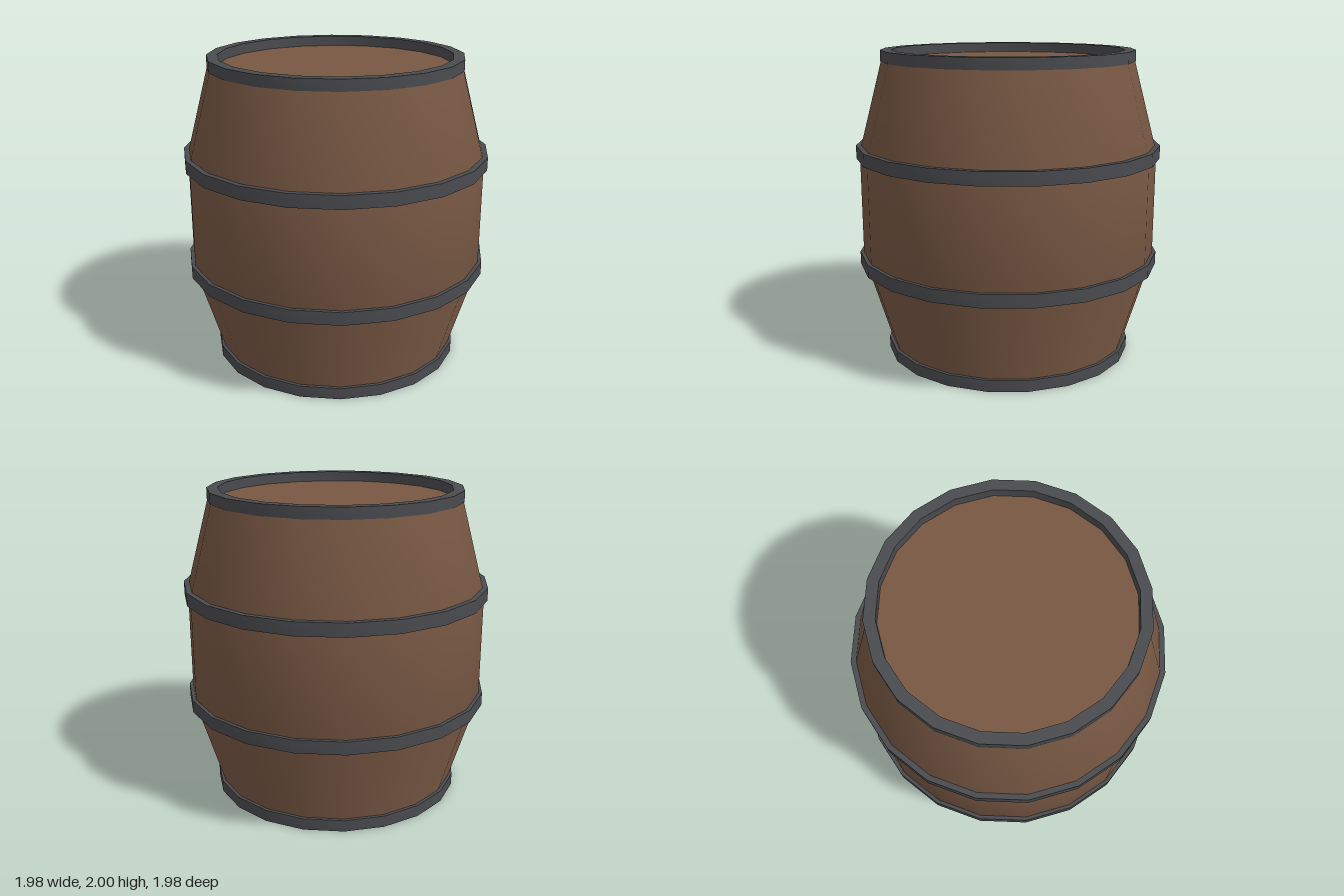
import * as THREE from 'three';
import { toCreasedNormals } from 'three/addons/utils/BufferGeometryUtils.js';

const SIDES = 20;

// Revolve a [radius, height] profile; smooth around, sharp at profile corners
function revolve(profile) {
  const points = profile.map(([r, y]) => new THREE.Vector2(r, y));
  return toCreasedNormals(new THREE.LatheGeometry(points, SIDES), 0.6);
}

// Closed rectangular ring
function ring(inner, outer, y0, y1) {
  return revolve([[inner, y0], [outer, y0], [outer, y1], [inner, y1], [inner, y0]]);
}

export function createModel() {
  const wood = new THREE.MeshStandardMaterial({ color: 0x775743 });
  wood.name = 'brown wood';
  const iron = new THREE.MeshStandardMaterial({ color: 0x4a4b4f });
  iron.name = 'dark iron';

  const barrel = new THREE.Group();
  barrel.name = 'barrel';
  const add = (name, geometry, material) => {
    const mesh = new THREE.Mesh(geometry, material);
    mesh.name = name;
    barrel.add(mesh);
  };

  // Wooden body with a recessed base, bulging staves and a lid below the rim
  add('body', revolve([
    [0, 0.045], [0.66, 0.045], [0.66, 0.004], [0.79, 0.004], [0.79, 0.06],
    [0.965, 0.645], [0.965, 1.355], [0.81, 1.935], [0, 1.935],
  ]), wood);

  // End rims
  add('bottomRim', ring(0.745, 0.815, 0, 0.075), iron);
  add('topRim', ring(0.745, 0.815, 1.93, 2), iron);

  // Hoops around the belly
  add('lowerHoop', ring(0.93, 0.988, 0.603, 0.687), iron);
  add('upperHoop', ring(0.93, 0.988, 1.313, 1.397), iron);

  return barrel;
}
